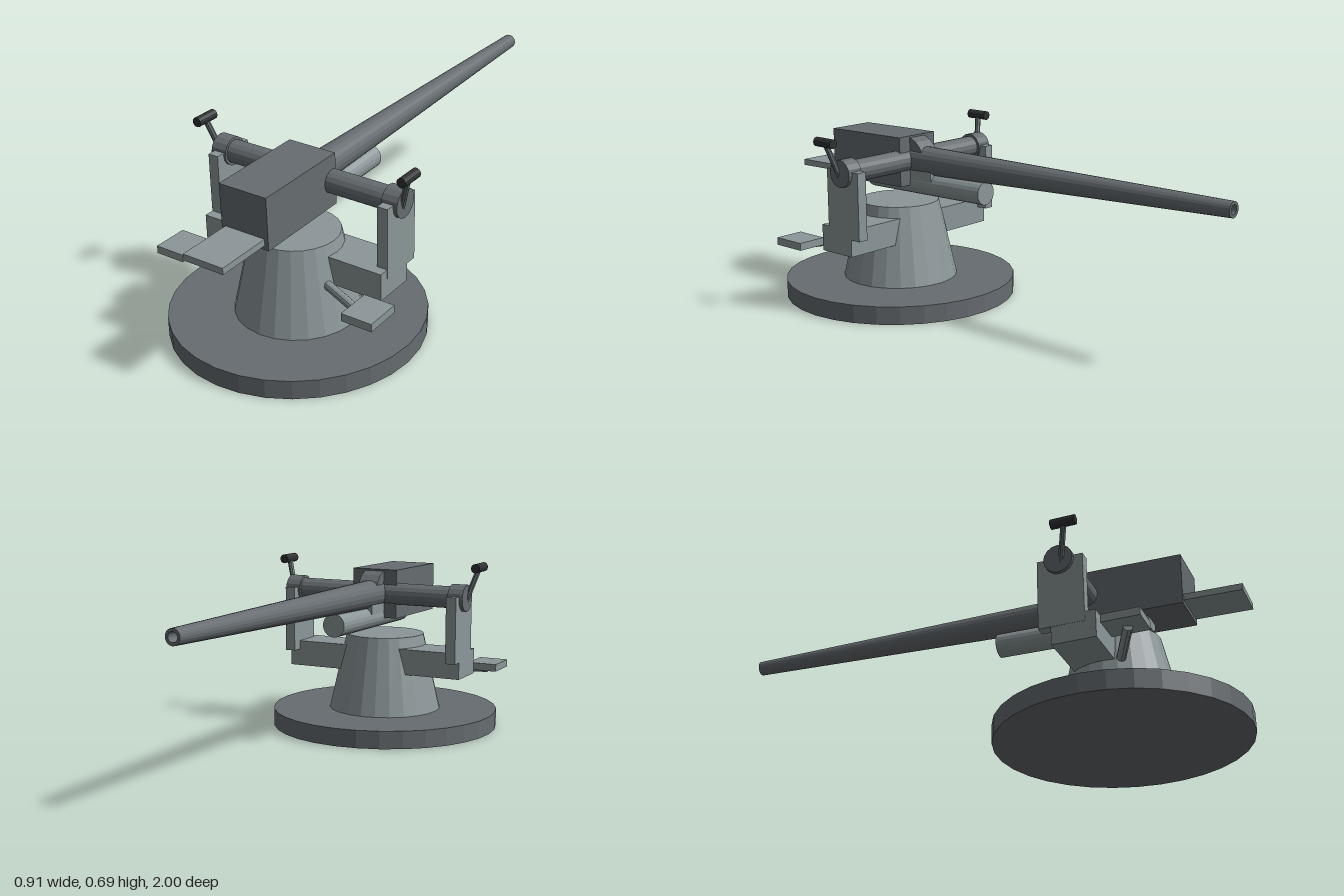
import * as THREE from 'three';

const paint = (color) => new THREE.MeshStandardMaterial({ color, flatShading: true });

export function createModel() {
  const model = new THREE.Group();
  const light = paint(0x8c9799), dark = paint(0x666c70), black = paint(0x2e3032);

  const add = (parent, name, geometry, material, x = 0, y = 0, z = 0) => {
    const mesh = new THREE.Mesh(geometry, material);
    mesh.name = name;
    mesh.position.set(x, y, z);
    parent.add(mesh);
    return mesh;
  };
  // box given by its minimum and maximum on each axis
  const block = (parent, name, material, [x0, x1], [y0, y1], [z0, z1]) =>
    add(parent, name, new THREE.BoxGeometry(x1 - x0, y1 - y0, z1 - z0), material,
      (x0 + x1) / 2, (y0 + y1) / 2, (z0 + z1) / 2);
  // cylinder running from one point to another
  const rod = (parent, name, material, from, to, radius, sides = 16) => {
    const a = new THREE.Vector3(...from), b = new THREE.Vector3(...to);
    const dir = b.clone().sub(a);
    const mesh = add(parent, name, new THREE.CylinderGeometry(radius, radius, dir.length(), sides), material);
    mesh.position.copy(a).add(b).multiplyScalar(0.5);
    mesh.quaternion.setFromUnitVectors(new THREE.Vector3(0, 1, 0), dir.normalize());
    return mesh;
  };

  // round base and tapered pedestal
  add(model, 'basePlate', new THREE.CylinderGeometry(0.457, 0.457, 0.07, 32), dark, 0, 0.035, 0.52);
  add(model, 'pedestal', new THREE.CylinderGeometry(0.157, 0.226, 0.307, 24), light, 0, 0.2235, 0.52);

  // trunnion bar on which the gun pivots
  const py = 0.55, pz = 0.437;
  rod(model, 'trunnionBar', dark, [-0.34, py, pz], [0.34, py, pz], 0.043);

  // yoke arm, hub, handle and seat on each side
  for (const s of [1, -1]) {
    const side = new THREE.Group();
    side.name = s > 0 ? 'leftMount' : 'rightMount';
    const span = (a, b) => (s > 0 ? [a, b] : [-b, -a]);
    block(side, 'yokeArm', light, span(0.1, 0.372), [0.233, 0.335], [0.4, 0.56]);
    block(side, 'yokeUpright', light, span(0.332, 0.373), [0.3, 0.56], [0.355, 0.522]);
    rod(side, 'trunnionHub', dark, [s * 0.325, py, pz], [s * 0.387, py, pz], 0.053);
    rod(side, 'handleRod', dark, [s * 0.378, 0.535, 0.445], [s * 0.42, 0.667, 0.474], 0.011, 8);
    rod(side, 'handleGrip', black, [s * 0.421, 0.667, 0.428], [s * 0.421, 0.667, 0.518], 0.018, 12);
    rod(side, 'seatBar', light, [s * 0.16, 0.238, 0.575], [s * 0.39, 0.238, 0.675], 0.017, 10);
    block(side, 'seat', light, span(0.334, 0.451), [0.239, 0.268], [0.6, 0.735]);
    model.add(side);
  }

  // elevating gun, tilted up slightly towards the muzzle
  const gun = new THREE.Group();
  gun.name = 'gun';
  gun.position.set(0, py, pz);
  gun.rotation.x = 0.0165;
  model.add(gun);

  // tapered barrel with a hollow muzzle
  const profile = [[0.057, 0], [0.028, 1.437], [0.017, 1.437], [0.017, 1.25], [0, 1.25]]
    .map(([r, y]) => new THREE.Vector2(r, y));
  add(gun, 'barrel', new THREE.LatheGeometry(profile, 20).rotateX(-Math.PI / 2), dark);

  block(gun, 'breechBlock', dark, [-0.095, 0.095], [-0.0965, 0.0965], [-0.022, 0.355]);
  block(gun, 'rearStep', light, [-0.08, 0.08], [-0.08, -0.056], [0.3, 0.563]);
  rod(gun, 'recoilCylinder', light, [0, -0.09, 0.215], [0, -0.09, -0.377], 0.045, 20);
  block(gun, 'cradleBracket', light, [-0.042, 0.042], [-0.09, 0.004], [-0.132, -0.02]);
  rod(gun, 'pivotCollar', dark, [-0.04, 0, 0], [0.04, 0, 0], 0.093, 20);

  return model;
}
